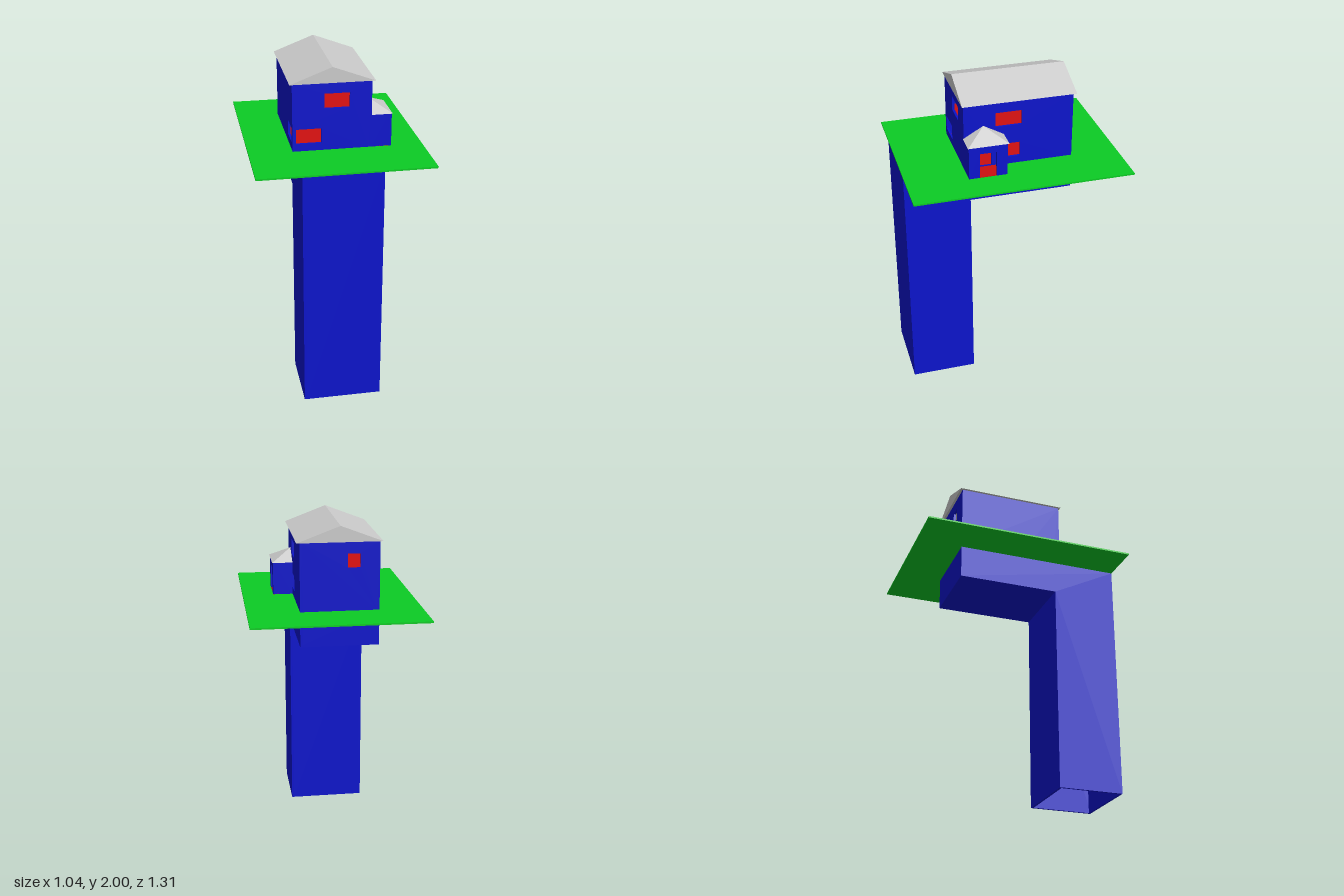
import * as THREE from 'three';

const T = 0.014; // wall thickness
const X0 = -0.26, X1 = 0.21, Z0 = -0.37, Z1 = 0.29; // house footprint
const GROUND = 1.49, EAVE = 1.905;

const paint = (color) => new THREE.MeshStandardMaterial({ color, flatShading: true });

export function createModel() {
  const model = new THREE.Group();
  const blue = paint(0x0c14cc), green = paint(0x0ccc24), red = paint(0xcc1010), grey = paint(0xcccccc);

  function add(parent, name, geometry, material) {
    const mesh = new THREE.Mesh(geometry, material);
    mesh.name = name;
    parent.add(mesh);
    return mesh;
  }

  function group(name) {
    const g = new THREE.Group();
    g.name = name;
    model.add(g);
    return g;
  }

  // Box given by its extents
  function box(parent, name, material, x0, x1, y0, y1, z0, z1) {
    const geometry = new THREE.BoxGeometry(x1 - x0, y1 - y0, z1 - z0);
    geometry.translate((x0 + x1) / 2, (y0 + y1) / 2, (z0 + z1) / 2);
    return add(parent, name, geometry, material);
  }

  const rect = (u0, u1, v0, v1) =>
    [[u0, v0], [u1, v0], [u1, v1], [u0, v1]].map(([u, v]) => new THREE.Vector2(u, v));

  // Thin plate from an outline, with rectangular openings [u0, u1, v0, v1]
  function plate(outline, openings) {
    const shape = new THREE.Shape(outline);
    for (const o of openings) shape.holes.push(new THREE.Path(rect(...o).reverse()));
    return new THREE.ExtrudeGeometry(shape, { depth: T, bevelEnabled: false });
  }

  // Wall across x, occupying z .. z + T
  function wallX(parent, name, z, outline, openings = []) {
    add(parent, name, plate(outline, openings), blue).position.z = z;
  }

  // Wall across z, occupying x - T .. x
  function wallZ(parent, name, x, outline, openings = []) {
    const mesh = add(parent, name, plate(outline, openings), blue);
    mesh.rotation.y = -Math.PI / 2;
    mesh.position.x = x;
  }

  // Ground plate
  box(model, 'ground', green, -0.52, 0.52, 1.485, 1.495, -0.655, 0.655);

  // Hollow shaft with a passage running back under the house, open at the foot
  const shaft = group('shaft');
  const top = 1.485, F = 0.655, B = 0.255, P = 1.28;
  const side = [[B, 0], [F, 0], [F, top], [Z0, top], [Z0, P], [B, P]]
    .map(([z, y]) => new THREE.Vector2(z, y));
  wallZ(shaft, 'shaftLeftWall', X1, side);
  wallZ(shaft, 'shaftRightWall', X0 + T, side);
  box(shaft, 'shaftFrontWall', blue, X0 + T, X1 - T, 0, top, F - T, F);
  box(shaft, 'shaftBackWall', blue, X0 + T, X1 - T, 0, P, B, B + T);
  box(shaft, 'passageFloor', blue, X0 + T, X1 - T, P, P + T, Z0, B + T);
  box(shaft, 'passageEndWall', blue, X0 + T, X1 - T, P + T, top, Z0, Z0 + T);

  // House walls with window openings
  const house = group('house');
  const across = rect(X0 + T, X1 - T, GROUND, EAVE);
  const along = rect(Z0, Z1, GROUND, EAVE);
  wallX(house, 'frontWall', Z1 - T, across, [[-0.07, 0.08, 1.75, 1.84], [-0.24, -0.09, 1.54, 1.63]]);
  wallX(house, 'backWall', Z0, across, [[-0.145, -0.07, 1.75, 1.835]]);
  wallZ(house, 'leftWall', X1, along, [
    [-0.06, 0.1, 1.745, 1.835],
    [-0.05, 0.055, 1.54, 1.63],
    [0.125, 0.225, 1.5, 1.65],
  ]);
  wallZ(house, 'rightWall', X0 + T, along, [[0.105, 0.255, 1.54, 1.63]]);
  box(house, 'lowerFloor', red, X0 + T, X1 - T, GROUND, 1.5, Z0 + T, Z1 - T);
  box(house, 'upperFloor', red, X0 + T, X1 - T, 1.69, 1.70, Z0 + T, Z1 - T);

  // Gabled main roof
  const gable = new THREE.Shape([[-0.275, EAVE], [0.23, EAVE], [-0.025, 2]]
    .map(([x, y]) => new THREE.Vector2(x, y)));
  const roof = new THREE.ExtrudeGeometry(gable, { depth: 0.685, bevelEnabled: false });
  roof.translate(0, 0, -0.385);
  add(house, 'mainRoof', roof, grey);

  // Entrance porch on the left side
  const porch = group('porch');
  const PX = 0.33, PZ = 0.06, PY = 1.695;
  wallX(porch, 'porchFrontWall', Z1 - T, rect(X1, PX - T, GROUND, PY));
  wallX(porch, 'porchBackWall', PZ, rect(X1, PX - T, GROUND, PY));
  const door = [[PZ, GROUND], [0.125, GROUND], [0.125, 1.65], [0.225, 1.65], [0.225, GROUND],
    [Z1, GROUND], [Z1, PY], [PZ, PY]].map(([z, y]) => new THREE.Vector2(z, y));
  wallZ(porch, 'porchDoorWall', PX, door);
  box(porch, 'porchFloor', red, X1, PX, 1.483, 1.498, PZ, Z1);

  // Hipped porch roof leaning on the house wall
  const a = [X1, PY, 0.05], b = [X1, PY, 0.295], c = [0.335, PY, 0.295], d = [0.335, PY, 0.05];
  const peak = [X1, 1.765, 0.1725];
  const hip = new THREE.BufferGeometry();
  const faces = [b, c, peak, c, d, peak, d, a, peak, a, b, peak, a, d, c, a, c, b];
  hip.setAttribute('position', new THREE.Float32BufferAttribute(faces.flat(), 3));
  hip.computeVertexNormals();
  add(porch, 'porchRoof', hip, grey);

  return model;
}
